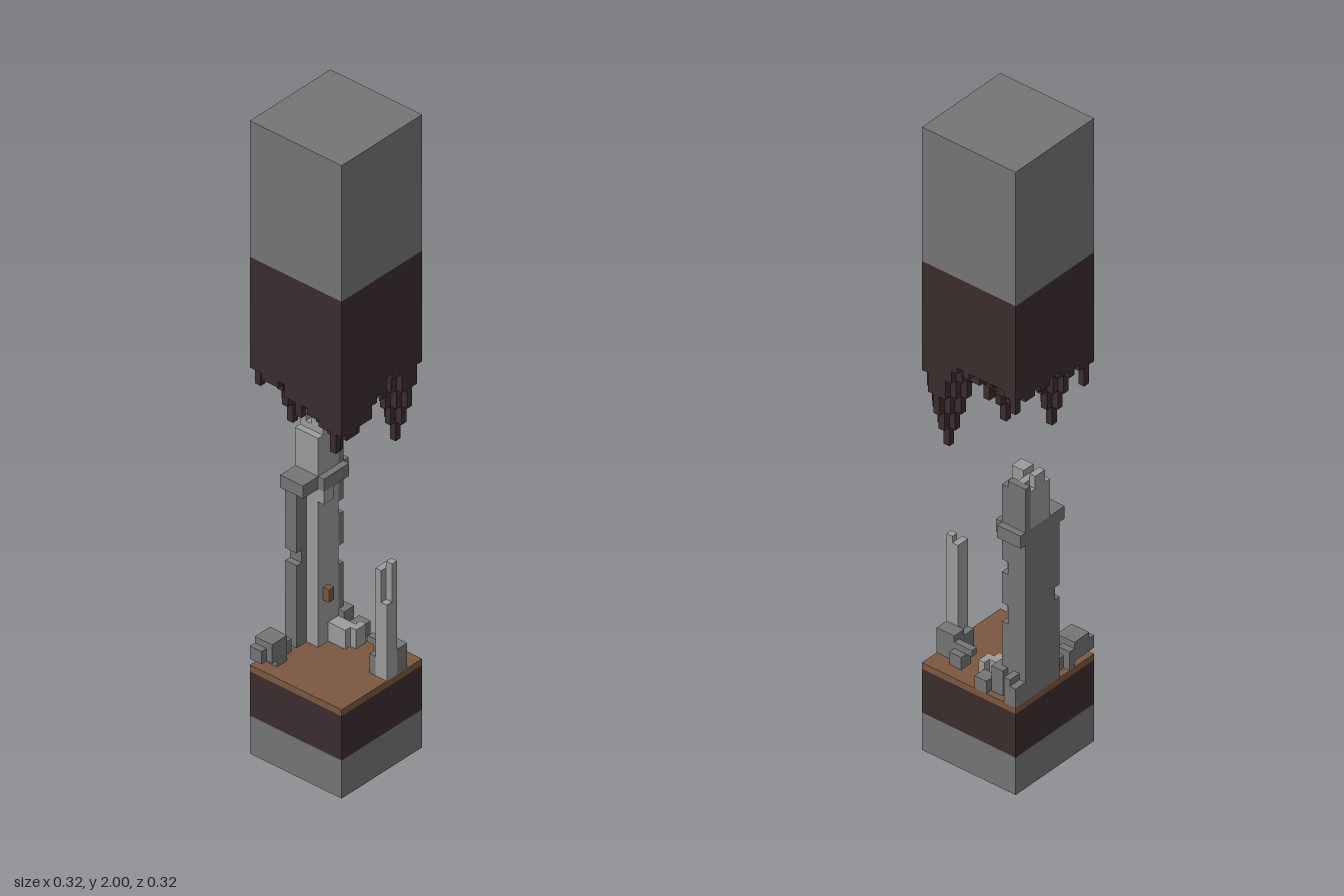
import * as THREE from 'three';
import { mergeGeometries } from 'three/addons/utils/BufferGeometryUtils.js';

const material = (name, color) => {
  const m = new THREE.MeshStandardMaterial({ color });
  m.name = name;
  return m;
};

// A box given by its limits: x0, x1, y0, y1, z0, z1
const block = ([x0, x1, y0, y1, z0, z1]) =>
  new THREE.BoxGeometry(x1 - x0, y1 - y0, z1 - z0)
    .translate((x0 + x1) / 2, (y0 + y1) / 2, (z0 + z1) / 2);

export function createModel() {
  const group = new THREE.Group();
  const stone = material('stone grey', 0x757575);
  const paleStone = material('pale stone', 0x9b9b9b);
  const darkRock = material('dark brown rock', 0x3c2c2e);
  const soil = material('brown soil', 0x7b573f);

  const add = (name, mat, boxes) => {
    const mesh = new THREE.Mesh(mergeGeometries(boxes.map(block)), mat);
    mesh.name = name;
    group.add(mesh);
  };
  const R = 0.16, V = 0.02;
  const slab = (y0, y1) => [-R, R, y0, y1, -R, R];

  // Ground layers and hanging block
  add('bedrock', stone, [slab(0, 0.12)]);
  add('lowerRock', darkRock, [slab(0.12, 0.26)]);
  add('soilFloor', soil, [slab(0.26, 0.28)]);
  add('ceilingStone', stone, [slab(1.57, 2)]);
  add('ceilingRock', darkRock, [slab(1.32, 1.57)]);

  // Ragged underside: voxel columns, lowered around each stalactite
  let seed = 7;
  const random = () => (seed = (seed * 16807) % 2147483647) / 2147483647;
  const spikes = [ // x, z, tip height
    [0.11, -0.11, 0.98], [0.05, 0.05, 1.0], [-0.09, 0.07, 1.04],
    [0.09, 0.03, 1.06], [0.13, 0.15, 1.08], [0.01, 0.07, 1.08],
    [-0.03, 0.09, 1.14], [-0.15, 0.13, 1.16], [0.03, -0.03, 1.16], [-0.05, -0.09, 1.2],
  ];
  const columns = [];
  for (let i = 0; i < 16; i++) {
    for (let j = 0; j < 16; j++) {
      const x = -R + V * (i + 0.5), z = -R + V * (j + 0.5);
      const u = i / 15, w = j / 15;
      let y = (1 - w) * (1.25 + 0.03 * u) + w * (1.23 - 0.11 * u) + (random() - 0.5) * 0.05;
      for (const [sx, sz, tip] of spikes) {
        const d = (Math.abs(x - sx) + Math.abs(z - sz)) / V;
        y = Math.min(y, tip + (d < 0.5 ? 0 : 0.01 + 0.055 * d));
      }
      y = Math.round(y / V) * V;
      columns.push([x - V / 2, x + V / 2, y, 1.32, z - V / 2, z + V / 2]);
    }
  }
  add('stalactites', darkRock, columns);

  // Ruined tower: pale core, darker corner columns, collar and broken crown
  add('towerCore', paleStone, [
    [-0.14, -0.08, 0.28, 0.9, -0.1, -0.02],
    [-0.16, -0.08, 0.82, 0.94, -0.1, -0.02],
    [-0.16, -0.14, 0.94, 0.98, -0.08, -0.04],
    [-0.12, -0.08, 0.94, 0.98, -0.08, -0.04],
    [-0.14, -0.12, 0.94, 0.96, -0.1, -0.04],
    [-0.08, -0.06, 0.74, 0.78, -0.06, -0.02],
  ]);
  add('towerColumns', stone, [
    [-0.16, -0.14, 0.28, 0.82, -0.1, 0],
    [-0.16, -0.12, 0.28, 0.54, -0.02, 0.02],
    [-0.16, -0.12, 0.54, 0.58, -0.02, 0],
    [-0.16, -0.12, 0.58, 0.78, -0.02, 0.02],
    [-0.16, -0.1, 0.28, 0.96, -0.12, -0.1],
    [-0.1, -0.08, 0.28, 0.5, -0.12, -0.08],
    [-0.1, -0.08, 0.56, 0.66, -0.12, -0.08],
    [-0.1, -0.08, 0.7, 0.94, -0.12, -0.08],
  ]);
  add('towerCollar', stone, [
    [-0.16, -0.08, 0.78, 0.82, -0.14, 0.04],
    [-0.08, -0.06, 0.78, 0.82, -0.12, -0.02],
  ]);
  add('towerBracket', soil, [[-0.08, -0.06, 0.42, 0.46, -0.06, -0.04]]);

  // Lone broken post
  add('brokenPost', paleStone, [
    [0.12, 0.14, 0.28, 0.62, -0.06, -0.02],
    [0.14, 0.16, 0.28, 0.64, -0.06, -0.04],
    [0.14, 0.16, 0.28, 0.52, -0.04, -0.02],
  ]);
  add('postFooting', stone, [
    [0.1, 0.16, 0.28, 0.36, -0.1, -0.06],
    [0.1, 0.12, 0.28, 0.34, -0.06, -0.02],
  ]);

  // Remains of the back wall and front corner
  add('wallRubble', stone, [
    [0.04, 0.1, 0.32, 0.34, -0.1, -0.08],
    [0.06, 0.1, 0.28, 0.32, -0.12, -0.08],
    [-0.16, -0.12, 0.28, 0.34, -0.16, -0.12],
    [-0.1, -0.06, 0.28, 0.36, -0.14, -0.1],
    [-0.06, -0.02, 0.28, 0.32, -0.16, -0.12],
    [-0.14, -0.12, 0.34, 0.36, -0.16, -0.12],
  ]);
  add('paleRubble', paleStone, [
    [-0.08, -0.02, 0.28, 0.34, -0.1, -0.06],
    [-0.02, 0, 0.28, 0.34, -0.12, -0.08],
  ]);
  add('frontCornerRubble', stone, [
    [-0.16, -0.12, 0.3, 0.34, 0.12, 0.16],
    [-0.16, -0.1, 0.3, 0.36, 0.08, 0.14],
    [-0.14, -0.1, 0.28, 0.32, 0.08, 0.12],
    [-0.16, -0.12, 0.28, 0.34, 0.06, 0.08],
    [-0.14, -0.12, 0.28, 0.32, 0.04, 0.06],
  ]);

  return group;
}
